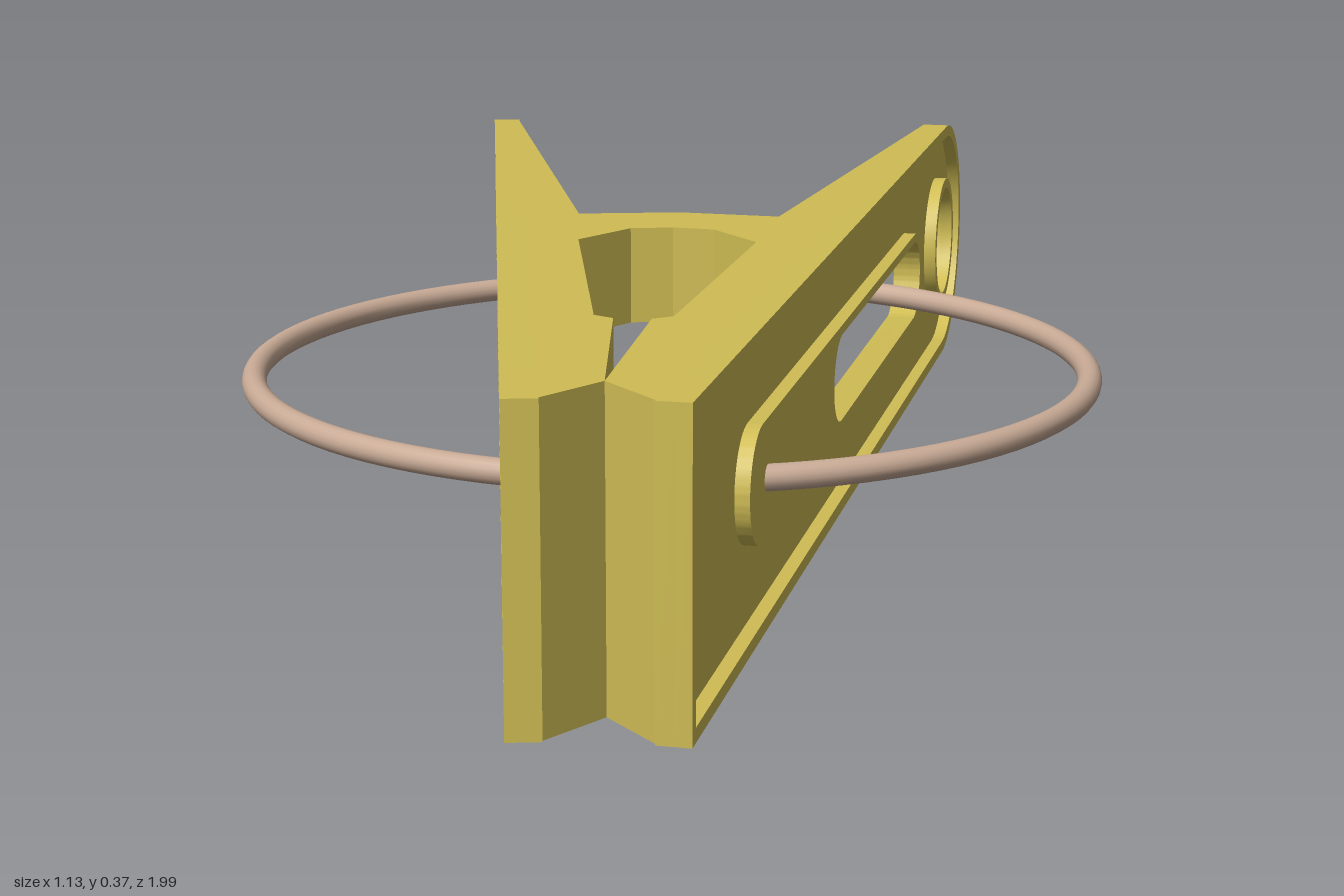
import * as THREE from 'three';
import { toCreasedNormals } from 'three/addons/utils/BufferGeometryUtils.js';

const H = 0.37, MID = H / 2;      // height and centre line
const SLOPE = 0.1475;             // splay of each arm
const WEB = 0.04, RAISE = 0.018;  // plate thickness, depth of the outer recess

// Rounded slot outline between u0 and u1
function slot(Type, u0, u1, r) {
  const p = new Type();
  p.moveTo(u0 + r, MID - r);
  p.lineTo(u1 - r, MID - r);
  p.absarc(u1 - r, MID, r, -Math.PI / 2, Math.PI / 2, false);
  p.lineTo(u0 + r, MID + r);
  p.absarc(u0 + r, MID, r, Math.PI / 2, Math.PI * 1.5, false);
  return p;
}

// Arm outline: square at the jaw, round at the grip
function outline(Type, u0, u1, r) {
  const p = new Type();
  p.moveTo(u0, MID - r);
  p.lineTo(u1 - r, MID - r);
  p.absarc(u1 - r, MID, r, -Math.PI / 2, Math.PI / 2, false);
  p.lineTo(u0, MID + r);
  p.closePath();
  return p;
}

function circle(Type, u, r) {
  const p = new Type();
  p.absarc(u, MID, r, 0, Math.PI * 2, false);
  return p;
}

function extrude(shape, depth) {
  return new THREE.ExtrudeGeometry(shape, { depth, bevelEnabled: false, curveSegments: 24 });
}

export function createModel() {
  const plastic = new THREE.MeshStandardMaterial({ color: 0xd0bd55 });
  plastic.name = 'yellow plastic';
  const metal = new THREE.MeshStandardMaterial({ color: 0xc9ab96 });
  metal.name = 'tan wire';

  const model = new THREE.Group();
  model.name = 'clothespin';

  function add(parent, name, geometry, material = plastic) {
    const mesh = new THREE.Mesh(toCreasedNormals(geometry, 0.5), material);
    mesh.name = name;
    parent.add(mesh);
    return mesh;
  }

  // x of the plate's inner face at a given z
  const inner = (z) => 0.245 - SLOPE * z - WEB;

  // Block with a plan outline of [x, z] points between two heights
  function block(parent, name, points, y0, y1) {
    const shape = new THREE.Shape(points.map(([x, z]) => new THREE.Vector2(x, -z)));
    const geometry = extrude(shape, y1 - y0);
    geometry.rotateX(-Math.PI / 2);
    geometry.translate(0, y0, 0);
    add(parent, name, geometry);
  }

  function createArm(name) {
    const arm = new THREE.Group();
    arm.name = name;

    // Outer plate, laid along the splayed direction
    const plate = new THREE.Group();
    plate.name = 'outerPlate';
    plate.position.x = 0.245;
    plate.rotation.y = Math.atan2(1, SLOPE);
    arm.add(plate);

    const web = outline(THREE.Shape, -1.005, 1.005, MID);
    web.holes.push(slot(THREE.Path, -0.185, 0.555, 0.058), circle(THREE.Path, 0.82, 0.085));
    add(plate, 'web', extrude(web, WEB - RAISE)).position.z = -WEB;

    const border = outline(THREE.Shape, -1.005, 1.005, MID);
    border.holes.push(outline(THREE.Path, -0.988, 0.988, MID - 0.017));
    const pad = slot(THREE.Shape, -0.717, 0.568, 0.071);
    pad.holes.push(slot(THREE.Path, -0.185, 0.555, 0.058));
    const ring = circle(THREE.Shape, 0.82, 0.1);
    ring.holes.push(circle(THREE.Path, 0.82, 0.085));
    add(plate, 'border', extrude(border, RAISE)).position.z = -RAISE;
    add(plate, 'slotPad', extrude(pad, RAISE)).position.z = -RAISE;
    add(plate, 'holeRim', extrude(ring, RAISE)).position.z = -RAISE;

    // Solid jaw
    block(arm, 'jaw', [
      [inner(0.985), 0.985], [0, 0.91], [0.022, 0.615], [0.046, 0.6],
      [0.111, 0.185], [inner(0.185), 0.185],
    ], 0, H);

    // Bridge halves and tapering flanges, above and below the slot
    const bridge = [
      [inner(0.185), 0.185], [0.111, 0.185], [0.115, 0.16], [0.055, 0.08],
      [0, 0.07], [0, -0.038], [0.135, -0.018], [inner(-0.018), -0.018],
    ];
    const flange = [[inner(-0.018), -0.018], [0.135, -0.018], [inner(-0.82), -0.82]];
    block(arm, 'lowerBridge', bridge, 0, 0.127);
    block(arm, 'upperBridge', bridge, H - 0.127, H);
    block(arm, 'lowerFlange', flange, 0, 0.05);
    block(arm, 'upperFlange', flange, H - 0.05, H);
    return arm;
  }

  // The arms match each other under a half turn about the long axis
  model.add(createArm('leftArm'));
  const rightArm = createArm('rightArm');
  rightArm.rotation.z = Math.PI;
  rightArm.position.y = H;
  model.add(rightArm);

  // Spring wire: an open ring whose ends sit in the jaws
  const gap = 0.2;
  const wire = new THREE.TorusGeometry(0.549, 0.016, 16, 96, Math.PI * 2 - gap * 2);
  wire.rotateZ(-Math.PI / 2 + gap);
  wire.rotateX(-Math.PI / 2);
  wire.translate(0, MID, 0.085);
  const spring = new THREE.Mesh(wire, metal);
  spring.name = 'springWire';
  model.add(spring);

  return model;
}
